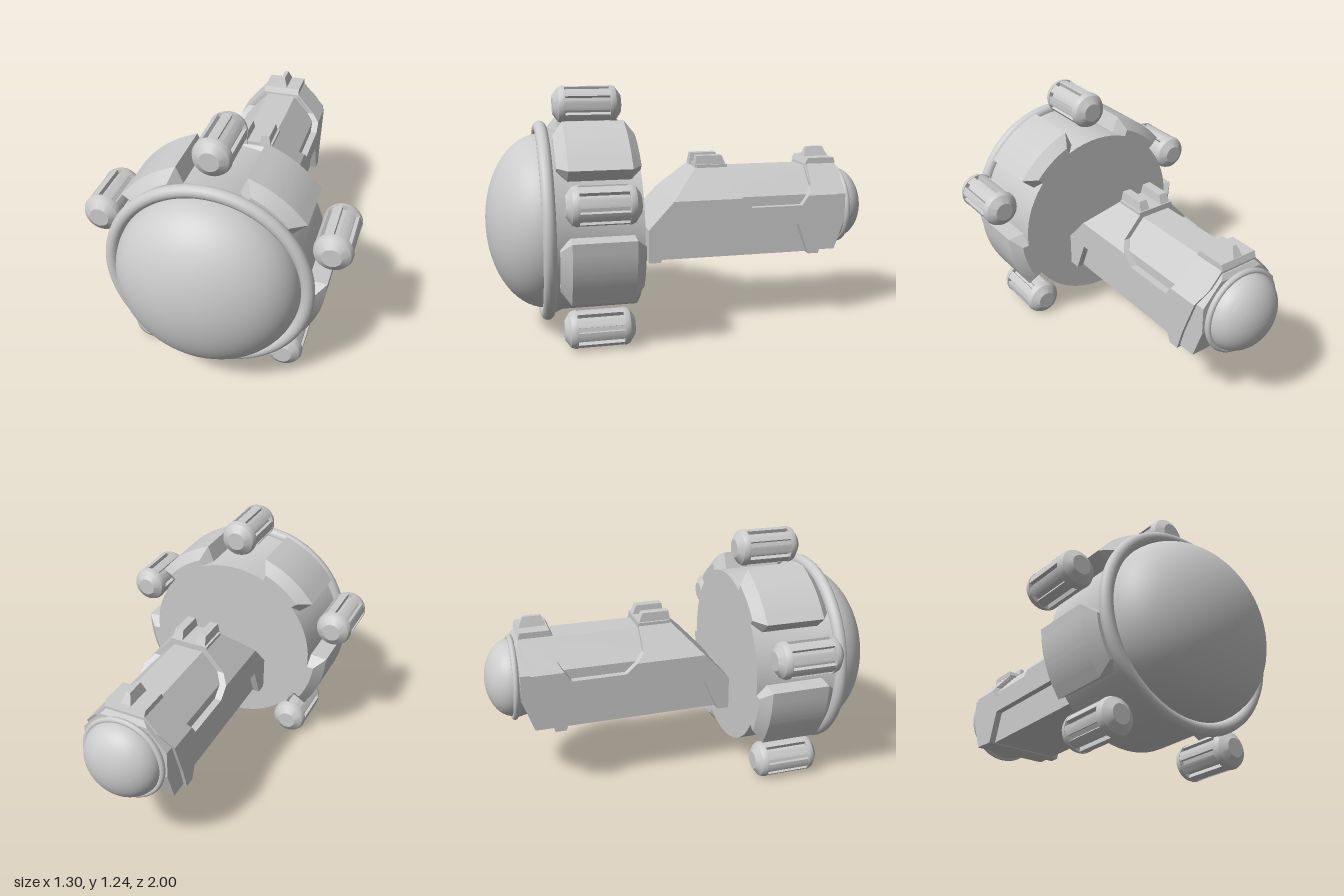
import * as THREE from 'three';
import { toCreasedNormals } from 'three/addons/utils/BufferGeometryUtils.js';

const mat = new THREE.MeshStandardMaterial({ color: 0xcccccc });
const V = (x, y) => new THREE.Vector2(x, y);
const AXIS_Y = 0.53;

function add(parent, name, geo, x = 0, y = 0, z = 0) {
  const m = new THREE.Mesh(geo, mat);
  m.name = name;
  m.position.set(x, y, z);
  parent.add(m);
  return m;
}

// Lathe whose axis is +z; points are [radius, z] with z rising
function turned(points, segments = 64, crease = 0.5) {
  const g = new THREE.LatheGeometry(points.map(p => V(p[0], p[1])), segments);
  g.rotateX(Math.PI / 2);
  return toCreasedNormals(g, crease);
}

// Half-ellipsoid bulging towards +z
function dome(radius, height) {
  const pts = [];
  for (let i = 0; i <= 20; i++) {
    const a = (i / 20) * Math.PI / 2;
    pts.push([Math.max(radius * Math.cos(a), 0), height * Math.sin(a)]);
  }
  return turned(pts, 64, 1);
}

// Symmetric solid from a side outline of [z, y]; the half-width depends on height
function sideSolid(outline, halfWidth) {
  const g = new THREE.ExtrudeGeometry(new THREE.Shape(outline.map(p => V(p[0], p[1]))),
    { depth: 2, bevelEnabled: false });
  g.translate(0, 0, -1);
  g.rotateY(-Math.PI / 2);
  const p = g.attributes.position;
  for (let i = 0; i < p.count; i++) p.setX(i, p.getX(i) * halfWidth(p.getY(i)));
  g.computeVertexNormals();
  return g;
}

// Curved pad between two angles, chamfered along its edges
function padGeometry() {
  const half = 0.315 - 0.02, bevel = 0.05, s = new THREE.Shape();
  s.absarc(0, 0, 0.54 - bevel, -half + 0.07, half - 0.07, false);
  s.absarc(0, 0, 0.36, half - 0.07, -half + 0.07, true);
  s.closePath();
  const g = new THREE.ExtrudeGeometry(s, {
    depth: 0.30, bevelEnabled: true, bevelSize: bevel, bevelThickness: bevel,
    bevelSegments: 1, curveSegments: 16 });
  return toCreasedNormals(g, 0.4);
}

// Slotted middle of a pod: eight bars with narrow grooves between them
function slottedGeometry(outer, inner, length) {
  const s = new THREE.Shape(), bars = 8, pitch = Math.PI * 2 / bars, bar = pitch * 0.32;
  for (let i = 0; i < bars; i++) {
    const a = i * pitch;
    for (const t of [-1, -0.33, 0.33, 1]) {
      const x = outer * Math.cos(a + t * bar), y = outer * Math.sin(a + t * bar);
      i === 0 && t === -1 ? s.moveTo(x, y) : s.lineTo(x, y);
    }
    for (const b of [a + bar, a + pitch - bar]) s.lineTo(inner * Math.cos(b), inner * Math.sin(b));
  }
  const g = new THREE.ExtrudeGeometry(s, { depth: length, bevelEnabled: false });
  g.translate(0, 0, -length / 2);
  return toCreasedNormals(g, 0.4);
}

function createHead() {
  const head = new THREE.Group();
  head.name = 'head';
  head.position.y = AXIS_Y;

  add(head, 'drum', turned([[0, 0.27], [0.455, 0.27], [0.455, 0.64], [0.47, 0.68], [0.47, 0.71], [0, 0.71]]));
  add(head, 'rim', new THREE.TorusGeometry(0.473, 0.032, 14, 72), 0, 0, 0.715);
  add(head, 'frontDome', dome(0.442, 0.29), 0, 0, 0.71);

  // Pads sit between the pods, except underneath
  const pad = padGeometry();
  for (const deg of [54, 126, -18, 198]) {
    add(head, 'drumPad', pad, 0, 0, 0.32).rotation.z = THREE.MathUtils.degToRad(deg);
  }

  // Five pods around the drum
  const slotted = slottedGeometry(0.091, 0.07, 0.25);
  const cap = turned([[0, 0.112], [0.093, 0.112], [0.093, 0.125], [0.085, 0.143], [0.047, 0.17], [0, 0.17]], 32);
  for (let i = 0; i < 5; i++) {
    const a = Math.PI / 2 + i * Math.PI * 2 / 5;
    const pod = new THREE.Group();
    pod.name = 'pod';
    pod.position.set(0.584 * Math.cos(a), 0.584 * Math.sin(a), 0.48);
    pod.rotation.z = a;
    add(pod, 'podBars', slotted);
    add(pod, 'podFrontCap', cap);
    add(pod, 'podBackCap', cap).rotation.y = Math.PI;
    head.add(pod);
  }
  return head;
}

function createHandle() {
  const handle = new THREE.Group();
  handle.name = 'handle';
  const shoulder = 0.64;
  const width = (w) => (y) => y <= shoulder ? w : w - (y - shoulder) * 0.9;
  const outer = width(0.23), inner = width(0.195);

  // Inner core, seen inside the recesses
  add(handle, 'coreLower', sideSolid(
    [[0.18, 0.335], [0.18, 0.5], [0.06, shoulder], [-0.72, shoulder], [-0.68, 0.335]], inner));
  add(handle, 'coreUpper', sideSolid(
    [[0.06, shoulder], [-0.06, 0.77], [-0.75, 0.77], [-0.72, shoulder]], inner));

  // Outer shell, with a trapezoid cut below and another above
  add(handle, 'shellLower', sideSolid([
    [0.21, 0.33], [0.21, 0.5], [0.08, shoulder], [-0.275, shoulder], [-0.33, 0.59], [-0.6, 0.59],
    [-0.635, shoulder], [-0.8, shoulder], [-0.73, 0.45], [-0.695, 0.33], [-0.64, 0.33],
    [-0.58, 0.495], [0.08, 0.495], [0.15, 0.33]], outer));
  add(handle, 'shellFrontCollar', sideSolid(
    [[0.08, shoulder], [-0.06, 0.785], [-0.23, 0.785], [-0.23, 0.68], [-0.275, shoulder]], outer));
  add(handle, 'shellRearCollar', sideSolid(
    [[-0.635, shoulder], [-0.66, 0.68], [-0.67, 0.79], [-0.825, 0.79], [-0.825, 0.71], [-0.8, shoulder]], outer));

  // Narrower end block behind the rear collar
  const end = width(0.215);
  add(handle, 'endBlockLower', sideSolid(
    [[-0.66, 0.345], [-0.66, shoulder], [-0.845, shoulder], [-0.845, 0.5], [-0.79, 0.345]], end));
  add(handle, 'endBlockUpper', sideSolid(
    [[-0.66, shoulder], [-0.66, 0.77], [-0.83, 0.77], [-0.845, 0.745], [-0.845, shoulder]], end));

  // Rear dome on its flange
  const tail = new THREE.Group();
  tail.name = 'rearCap';
  tail.position.set(0, 0.55, -0.865);
  tail.rotation.set(0.04, Math.PI, 0);
  add(tail, 'capNeck', turned([[0, -0.08], [0.185, -0.08], [0.205, -0.005], [0.205, 0.01], [0, 0.01]]));
  add(tail, 'capFlange', new THREE.TorusGeometry(0.2, 0.015, 10, 48));
  add(tail, 'rearDome', dome(0.195, 0.134));
  handle.add(tail);

  // Small step on the front slope
  add(handle, 'frontStep', new THREE.BoxGeometry(0.19, 0.18, 0.12), 0, 0.42, 0.145);

  // Twin front blocks on a slab
  add(handle, 'frontSlab', new THREE.BoxGeometry(0.2, 0.02, 0.16), 0, 0.79, -0.15);
  const block = sideSolid([[-0.06, 0.785], [-0.07, 0.845], [-0.205, 0.845], [-0.23, 0.785]],
    y => y > 0.8 ? 0.022 : 0.028);
  for (const x of [-0.062, 0.062]) add(handle, 'frontBlock', block, x);

  // Rear fin on a slab
  add(handle, 'rearSlab', sideSolid(
    [[-0.66, 0.785], [-0.675, 0.815], [-0.82, 0.815], [-0.83, 0.785]], () => 0.1));
  add(handle, 'rearFin', sideSolid(
    [[-0.68, 0.81], [-0.7, 0.865], [-0.79, 0.865], [-0.82, 0.81]], y => y > 0.84 ? 0.01 : 0.028));
  return handle;
}

export function createModel() {
  const model = new THREE.Group();
  model.name = 'model';
  model.add(createHead(), createHandle());
  return model;
}
